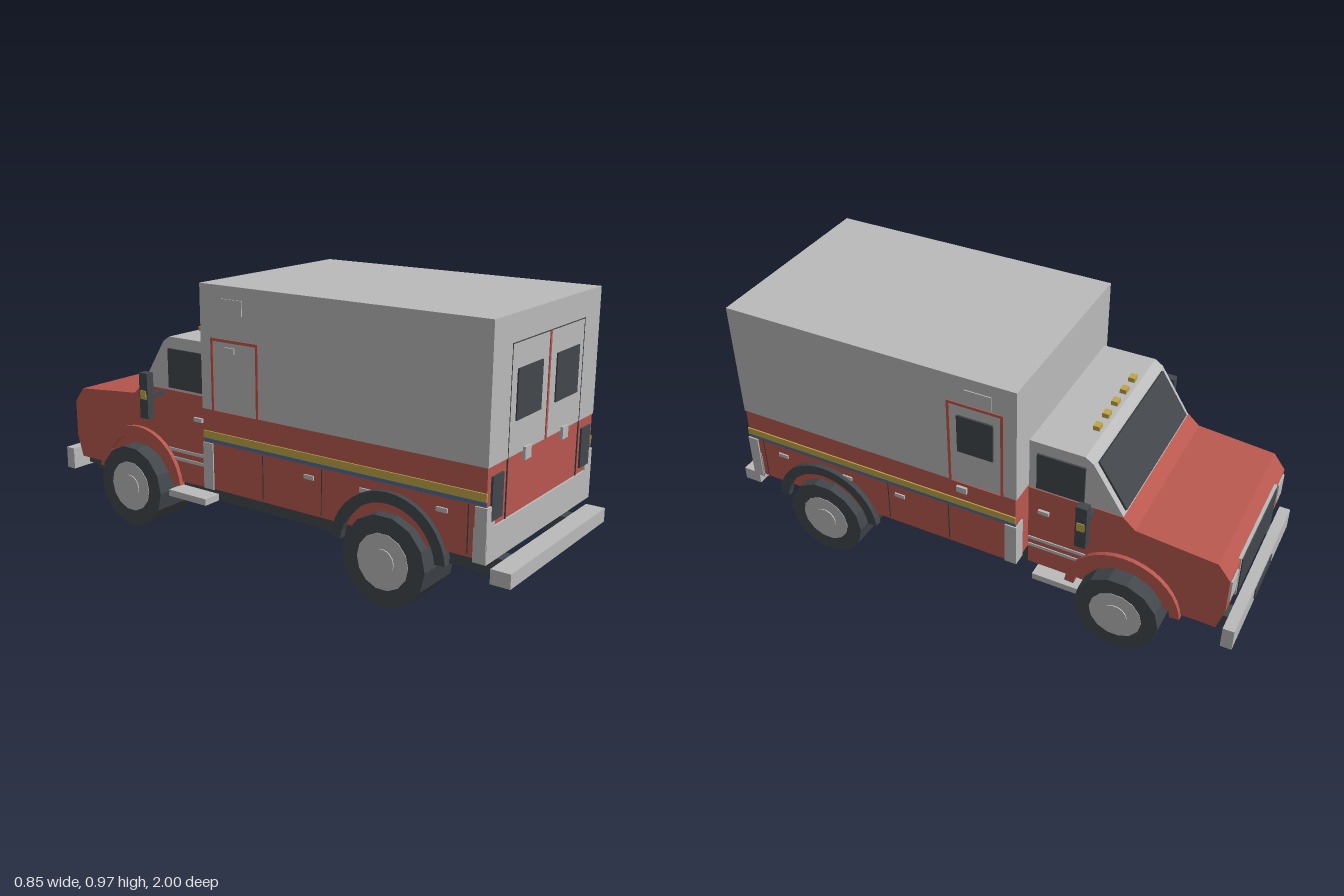
import * as THREE from 'three';
import { toCreasedNormals } from 'three/addons/utils/BufferGeometryUtils.js';

const paint = (name, color) => {
  const m = new THREE.MeshStandardMaterial({ color });
  m.name = name;
  return m;
};

export function createModel() {
  const root = new THREE.Group();
  root.name = 'ambulanceTruck';
  const red = paint('red', 0xb8574e);
  const grey = paint('lightGrey', 0xbababa);
  const dark = paint('darkGrey', 0x42474c);
  const yellow = paint('yellow', 0xbfa548);
  const blue = paint('blue', 0x4a6d99);

  const add = (name, geo, mat) => {
    const m = new THREE.Mesh(geo, mat);
    m.name = name;
    root.add(m);
    return m;
  };
  // Box given by its limits on each axis
  const block = (name, mat, x0, x1, y0, y1, z0, z1) =>
    add(name, new THREE.BoxGeometry(x1 - x0, y1 - y0, z1 - z0)
      .translate((x0 + x1) / 2, (y0 + y1) / 2, (z0 + z1) / 2), mat);
  // Box mirrored to both sides
  const pair = (name, mat, x0, x1, ...yz) => {
    block(name + 'Left', mat, x0, x1, ...yz);
    block(name + 'Right', mat, -x1, -x0, ...yz);
  };
  // Shape drawn in (z, y), extruded across x
  const across = (name, mat, shape, x0, x1) => {
    const g = new THREE.ExtrudeGeometry(shape, { depth: x1 - x0, bevelEnabled: false, curveSegments: 9 });
    return add(name, g.rotateY(-Math.PI / 2).translate(x1, 0, 0), mat);
  };
  const poly = (pts) => new THREE.Shape(pts.map(([z, y]) => new THREE.Vector2(z, y)));

  // Chassis and bumpers
  pair('chassisRail', dark, 0.2, 0.26, 0.135, 0.21, -0.91, 0.89);
  block('rearBumper', grey, -0.355, 0.355, 0.15, 0.2, 0.93, 1);
  pair('rearBumperBracket', dark, 0.2, 0.26, 0.15, 0.195, 0.885, 0.94);
  block('frontBumper', grey, -0.34, 0.34, 0.14, 0.225, -0.996, -0.955);
  block('frontPlate', dark, -0.1, 0.1, 0.16, 0.205, -1, -0.995);
  pair('frontBumperBracket', dark, 0.2, 0.26, 0.15, 0.2, -0.96, -0.9);

  // Rear body, painted in two tones
  block('bodyLower', red, -0.377, 0.377, 0.23, 0.525, -0.205, 0.92);
  block('bodyUpper', grey, -0.38, 0.38, 0.525, 0.97, -0.21, 0.923);
  pair('yellowStripe', yellow, 0.376, 0.382, 0.418, 0.445, -0.207, 0.922);
  pair('blueStripe', blue, 0.376, 0.381, 0.405, 0.418, -0.207, 0.922);
  pair('frontCornerGuard', grey, 0.33, 0.382, 0.228, 0.4, -0.21, -0.165);
  pair('rearCornerGuard', grey, 0.33, 0.383, 0.228, 0.4, 0.885, 0.926);
  for (const z of [0.77, 0.485, 0.26])
    pair('lockerHandle', grey, 0.376, 0.383, 0.355, 0.37, z - 0.02, z + 0.02);
  for (const z of [0.86, 0.31, 0.06])
    pair('lockerSeam', dark, 0.376, 0.3775, 0.24, 0.4, z - 0.002, z + 0.002);
  pair('sideMarker', grey, 0.379, 0.384, 0.872, 0.925, -0.12, -0.02);

  // Side doors: trim frame around the upper leaf, differing left and right
  for (const [s, top] of [[1, 0.865], [-1, 0.785]]) {
    const frame = poly([[-0.162, 0.525], [0.048, 0.525], [0.048, top], [-0.162, top]]);
    frame.holes.push(new THREE.Path([[-0.152, 0.525], [0.038, 0.525], [0.038, top - 0.01], [-0.152, top - 0.01]]
      .map(([z, y]) => new THREE.Vector2(z, y + (y === 0.525 ? 0.001 : 0)))));
    across('sideDoorTrim', red, frame, s > 0 ? 0.379 : -0.384, s > 0 ? 0.384 : -0.379);
  }
  block('sideDoorWindow', dark, 0.379, 0.387, 0.665, 0.815, -0.125, 0.01);
  block('sideDoorHandle', grey, 0.376, 0.387, 0.482, 0.506, -0.02, 0.02);
  block('sideDoorVent', grey, -0.386, -0.379, 0.738, 0.758, -0.1, -0.055);

  // Rear doors
  block('rearSill', grey, -0.38, 0.38, 0.218, 0.33, 0.88, 0.927);
  block('rearDoorSplit', red, -0.005, 0.005, 0.525, 0.88, 0.922, 0.926);
  block('rearDoorTopSeam', dark, -0.26, 0.26, 0.878, 0.881, 0.922, 0.925);
  pair('rearDoorSideSeam', dark, 0.257, 0.259, 0.33, 0.88, 0.919, 0.9245);
  pair('rearWindow', dark, 0.052, 0.22, 0.635, 0.797, 0.922, 0.928);
  pair('rearDoorHandle', grey, 0.115, 0.157, 0.495, 0.537, 0.915, 0.932);
  pair('tailLight', dark, 0.284, 0.354, 0.35, 0.492, 0.919, 0.927);

  // Cab
  across('cabLower', red, poly([[-0.225, 0.2], [-0.225, 0.545], [-0.57, 0.545], [-0.615, 0.505],
    [-0.905, 0.478], [-0.95, 0.42], [-0.95, 0.28], [-0.925, 0.195]]), -0.318, 0.318);
  across('cabUpper', grey, poly([[-0.225, 0.545], [-0.225, 0.745], [-0.425, 0.745], [-0.455, 0.725],
    [-0.57, 0.545]]), -0.315, 0.315);
  across('windshield', dark, poly([[-0.458, 0.718], [-0.466, 0.722], [-0.572, 0.558], [-0.564, 0.552]]), -0.29, 0.29);
  for (const s of [1, -1]) {
    const win = poly([[-0.255, 0.555], [-0.255, 0.702], [-0.43, 0.702], [-0.43, 0.555]]);
    across('cabWindow', dark, win, s * 0.318 - 0.004, s * 0.318 + 0.004);
  }
  pair('cabDoorHandle', grey, 0.317, 0.328, 0.447, 0.462, -0.305, -0.265);
  for (const y of [0.285, 0.318])
    pair('cabTrim', grey, 0.317, 0.322, y - 0.006, y + 0.006, -0.445, -0.227);
  pair('cabStep', grey, 0.24, 0.335, 0.135, 0.16, -0.44, -0.25);
  for (let i = -2; i <= 2; i++)
    block('roofLight', yellow, i * 0.078 - 0.015, i * 0.078 + 0.015, 0.744, 0.762, -0.412, -0.388);

  // Grille and headlights
  block('grilleFrame', grey, -0.21, 0.21, 0.262, 0.43, -0.953, -0.91);
  block('grille', dark, -0.2, 0.2, 0.265, 0.42, -0.957, -0.95);
  pair('headlight', grey, 0.235, 0.305, 0.32, 0.408, -0.956, -0.93);

  // Mirrors
  pair('mirror', dark, 0.388, 0.42, 0.452, 0.622, -0.482, -0.442);
  pair('mirrorArm', dark, 0.31, 0.39, 0.522, 0.54, -0.47, -0.455);
  pair('mirrorLight', yellow, 0.418, 0.423, 0.525, 0.558, -0.476, -0.448);

  // Wheel arches
  const arch = (name, mat, z, y, rOut, rIn, x0, x1) => {
    const s = new THREE.Shape();
    s.absarc(z, y, rOut, 0.1, Math.PI - 0.1, false);
    s.absarc(z, y, rIn, Math.PI - 0.1, 0.1, true);
    across(name + 'Left', mat, s, x0, x1);
    across(name + 'Right', mat, s, -x1, -x0);
  };
  arch('rearFlare', dark, 0.58, 0.165, 0.218, 0.18, 0.37, 0.397);
  arch('frontFender', red, -0.59, 0.165, 0.215, 0.18, 0.31, 0.335);

  // Wheels
  const disc = (r, x0, x1, n) => toCreasedNormals(
    new THREE.CylinderGeometry(r, r, x1 - x0, n).rotateZ(-Math.PI / 2).translate((x0 + x1) / 2, 0, 0), 0.3);
  for (const [label, z, xo] of [['rear', 0.58, 0.416], ['front', -0.59, 0.381]])
    for (const s of [1, -1]) {
      const span = (a, b) => (s > 0 ? [a, b] : [-b, -a]);
      const parts = [['Tyre', dark, 0.157, xo - 0.187, xo, 14],
        ['Rim', grey, 0.097, xo - 0.19, xo + 0.002, 14], ['Hub', grey, 0.045, xo, xo + 0.006, 14]];
      for (const [part, mat, r, a, b, n] of parts)
        add(label + part, disc(r, ...span(a, b), n), mat).position.set(0, 0.154, z);
    }
  return root;
}
